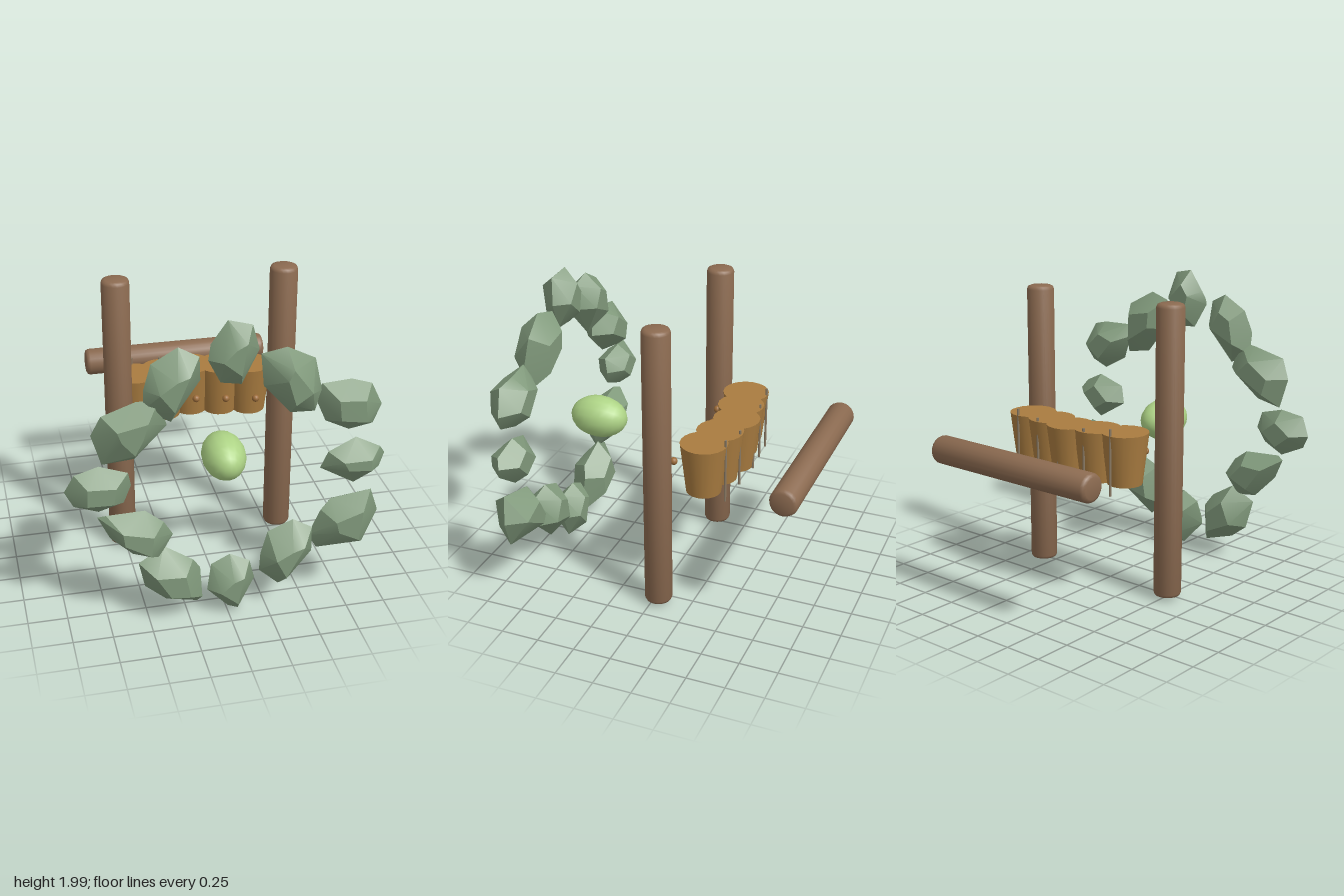
import * as THREE from 'three';
import { toCreasedNormals } from 'three/addons/utils/BufferGeometryUtils.js';
import { ConvexGeometry } from 'three/addons/geometries/ConvexGeometry.js';

const mat = (color) => new THREE.MeshStandardMaterial({ color });
const wood = mat(0x8b6a50), clay = mat(0xa97c40), stoneMat = mat(0x819a7c);
const eggMat = mat(0xaed486), rodMat = mat(0x8a7a64), knobMat = mat(0x9c6c3a);

const CX = 0.03, CY = 0.985; // middle of the arrangement

export function createModel() {
  const model = new THREE.Group();

  const add = (name, geometry, material, x, y, z) => {
    const mesh = new THREE.Mesh(geometry, material);
    mesh.name = name;
    mesh.position.set(x, y, z);
    model.add(mesh);
    return mesh;
  };

  // Round log with softened ends, standing along y
  const logGeometry = (radius, length) => {
    const h = length / 2, b = 0.025;
    const half = [[0, h], [radius - b, h], [radius - b * 0.3, h - b * 0.3], [radius, h - b]];
    const profile = [...half.map(([r, y]) => [r, -y]), ...half.reverse()];
    const lathe = new THREE.LatheGeometry(profile.map(([r, y]) => new THREE.Vector2(r, y)), 20);
    return toCreasedNormals(lathe, 0.9);
  };

  // Two upright posts and the log lying behind them
  for (const side of [-1, 1]) {
    add(side > 0 ? 'leftPost' : 'rightPost', logGeometry(0.09, 1.915), wood, CX + side * 0.544, 0.9875, -0.038);
  }
  add('rearLog', logGeometry(0.092, 1.285), wood, CX, CY, -0.885).rotation.z = Math.PI / 2;

  // Curved row of tapered buckets, each with a knob in front and a rod behind
  const bucketGeometry = new THREE.CylinderGeometry(0.152, 0.112, 0.335, 20);
  for (let i = -2; i <= 2; i++) {
    const x = CX + i * 0.195, a = Math.abs(i);
    add('bucket', bucketGeometry, clay, x, 0.988, [-0.362, -0.322, -0.288][a]);
    add('knob', new THREE.SphereGeometry(0.025, 12, 8), knobMat, x, CY, -0.165 + a * 0.04);
    add('rod', new THREE.CylinderGeometry(0.008, 0.008, 0.34 + a * 0.046, 8), rodMat, x, CY, -0.48 + a * 0.024);
  }

  // Green egg behind the middle of the ring, its long axis along z
  const egg = add('egg', new THREE.SphereGeometry(1, 16, 12), eggMat, CX, CY, 0.615);
  egg.rotation.x = Math.PI / 2;
  egg.scale.set(0.137, 0.197, 0.142);

  // Faceted stone: a sharp outline (x, y pairs in hundredths) rising to smaller rings front and back
  const stone = (depth, ...outline) => {
    const rim = [];
    for (let i = 0; i < outline.length; i += 2) {
      rim.push(new THREE.Vector3(outline[i] / 100, outline[i + 1] / 100, 0));
    }
    const box = new THREE.Box3().setFromPoints(rim);
    const centre = box.getCenter(new THREE.Vector3());
    const points = rim.map((p, i) => p.clone().sub(centre).setZ(i % 2 ? 0.012 : -0.012));
    for (const side of [-1, 1]) {
      points.filter((p, i) => (i + (side > 0 ? 0 : 1)) % 2).forEach((p) => {
        points.push(new THREE.Vector3(p.x * 0.53, p.y * 0.53, side * depth));
      });
    }
    const geometry = toCreasedNormals(new ConvexGeometry(points), 0.5);
    add('ringStone', geometry, stoneMat, centre.x, centre.y, 0.858);
  };

  // Ring of twelve stones, clockwise from the top
  stone(0.106, -1, 200, 13, 197, 18, 180, 7, 160, -5, 161, -13, 177, -11, 186);
  stone(0.123, 19, 177, 34, 181, 52, 171, 56, 151, 53, 136, 37, 138, 21, 156);
  stone(0.115, 52, 147, 56, 155, 75, 155, 87, 152, 95, 136, 89, 125, 75, 121, 59, 130);
  stone(0.104, 58, 96, 62, 108, 80, 115, 95, 108, 99, 102, 95, 94, 80, 83);
  stone(0.123, 52, 48, 59, 67, 66, 73, 91, 78, 97, 61, 87, 40, 58, 38);
  stone(0.123, 42, 61, 54, 55, 55, 36, 33, 16, 21, 26, 21, 40, 26, 54);
  stone(0.106, 2, 41, 14, 36, 18, 21, 7, 1, 1, 2, -13, 18, -10, 35);
  stone(0.123, -40, 53, -22, 42, -17, 34, -16, 13, -19, 9, -39, 15, -52, 25, -56, 44);
  stone(0.123, -80, 79, -75, 81, -51, 80, -40, 72, -34, 61, -43, 47, -59, 50, -73, 65);
  stone(0.104, -99, 99, -93, 111, -78, 114, -61, 109, -59, 99, -64, 89, -79, 83, -94, 90);
  stone(0.123, -82, 135, -76, 148, -55, 154, -42, 155, -37, 137, -57, 118, -76, 115);
  stone(0.115, -30, 186, -18, 180, -17, 164, -35, 140, -51, 148, -51, 162, -46, 177);

  return model;
}
